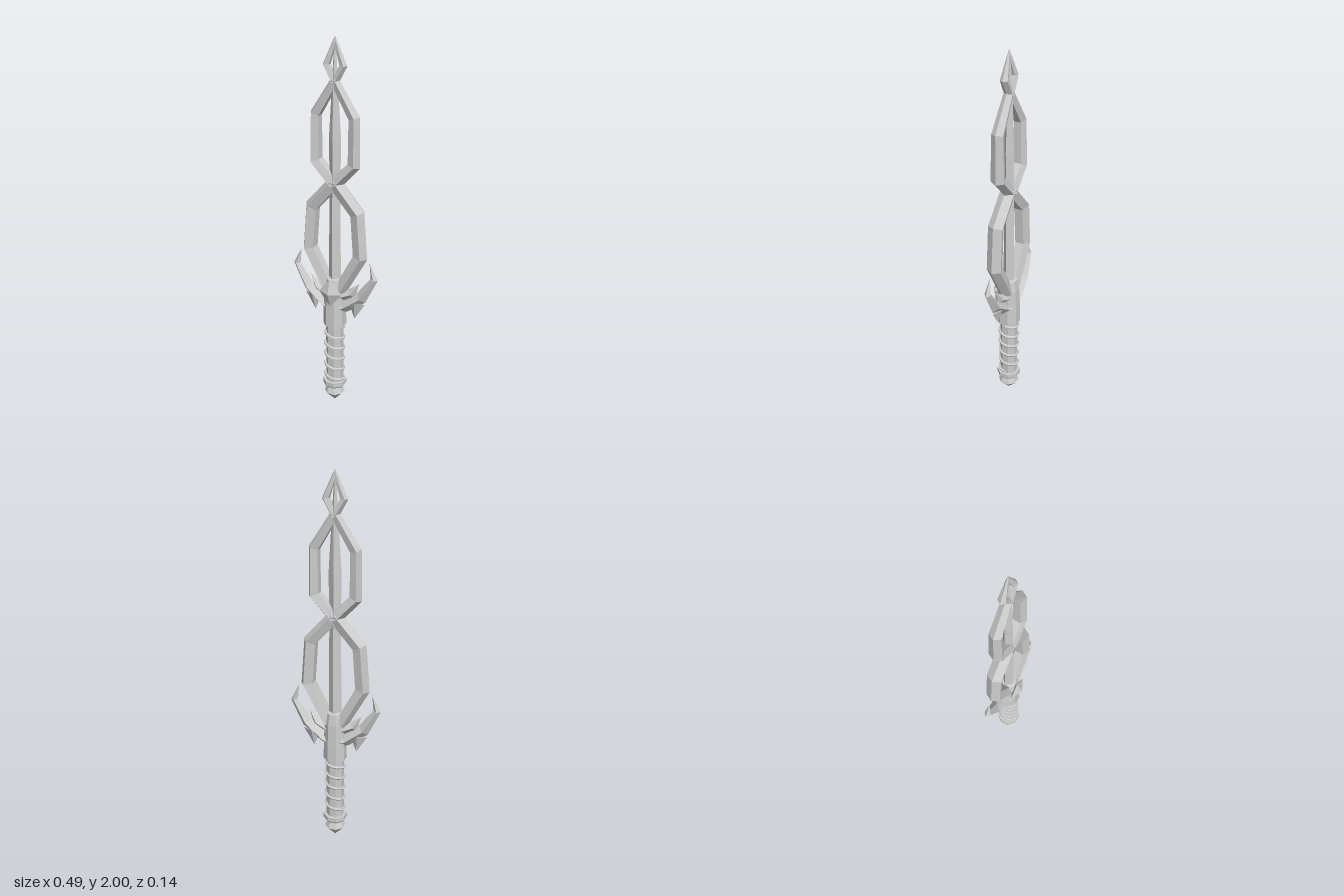
import * as THREE from 'three';

const material = new THREE.MeshStandardMaterial({ color: 0xcccccc, flatShading: true, side: THREE.DoubleSide });

// Cross-sections as [outward, depth] fractions of the half width and half depth
const BEVELLED = [[1, 0], [0.35, 1], [-0.9, 0.6], [-0.9, -0.6], [0.35, -1]];
const DIAMOND = [[1, 0], [0, 1], [-1, 0], [0, -1]];

// Lofts a section along a mitred path of [x, y, halfWidth, halfDepth]; side -1 mirrors it
function bar(path, profile, side = 1) {
  const n = profile.length, positions = [], index = [];
  const direction = (a, b) => new THREE.Vector2(b[0] - a[0], b[1] - a[1]).normalize();
  path.forEach(([x, y, w, d], i) => {
    const before = direction(path[Math.max(i - 1, 0)], path[Math.max(i, 1)]);
    const after = direction(path[Math.min(i, path.length - 2)], path[Math.min(i + 1, path.length - 1)]);
    const t = before.clone().add(after).normalize();
    const k = w / Math.max(t.dot(before), 0.6);
    for (const [u, v] of profile) positions.push(side * (x + t.y * u * k), y - t.x * u * k, v * d);
  });
  const tri = (a, b, c) => (side > 0 ? index.push(a, b, c) : index.push(a, c, b));
  const last = (path.length - 1) * n;
  for (let i = 0; i < path.length - 1; i++) {
    for (let j = 0; j < n; j++) {
      const a = i * n + j, b = i * n + (j + 1) % n;
      tri(a, a + n, b);
      tri(b, a + n, b + n);
    }
  }
  for (let j = 1; j < n - 1; j++) {
    tri(0, j, j + 1);
    tri(last, last + j + 1, last + j);
  }
  const geometry = new THREE.BufferGeometry();
  geometry.setAttribute('position', new THREE.Float32BufferAttribute(positions, 3));
  geometry.setIndex(index);
  geometry.computeVertexNormals();
  return geometry;
}

function add(parent, name, geometry) {
  const mesh = new THREE.Mesh(geometry, material);
  mesh.name = name;
  parent.add(mesh);
  return mesh;
}

// Faceted turned part from [radius, y] points
function turned(profile, sides = 8) {
  const geometry = new THREE.LatheGeometry(profile.map(([r, y]) => new THREE.Vector2(r, y)), sides);
  return geometry.rotateY(Math.PI / sides);
}

export function createModel() {
  const model = new THREE.Group();
  model.name = 'sword';
  const body = new THREE.Group();
  body.name = 'body';
  body.position.z = -0.012;
  model.add(body);

  // Blade: three open loops that cross on the centre line
  const loops = {
    lowerLoop: [[0.035, 0.7, 0.034, 0.04], [0.148, 0.91, 0.036, 0.04], [0.13, 1.143, 0.035, 0.04], [0, 1.29, 0.034, 0.038]],
    upperLoop: [[0, 1.28, 0.034, 0.038], [0.107, 1.39, 0.029, 0.037], [0.106, 1.625, 0.027, 0.031], [0, 1.795, 0.022, 0.023]],
    tipLoop: [[0, 1.785, 0.018, 0.023], [0.046, 1.866, 0.017, 0.02], [0.004, 1.97, 0.011, 0.006], [0, 2, 0, 0]],
  };
  for (const [name, path] of Object.entries(loops)) {
    for (const side of [1, -1]) add(body, name, bar(path, BEVELLED, side));
  }

  // Slim core running up through the loops
  add(body, 'bladeCore', bar([
    [0, 0.7, 0.036, 0.032], [0, 1.29, 0.03, 0.028], [0, 1.5, 0.034, 0.026],
    [0, 1.8, 0.015, 0.018], [0, 1.98, 0.004, 0.004],
  ], DIAMOND));

  // Guard: curved horn, inner thorn and downward barb on each side
  for (const side of [1, -1]) {
    const guard = new THREE.Group();
    guard.name = side > 0 ? 'leftGuard' : 'rightGuard';
    body.add(guard);
    add(guard, 'horn', bar([
      [0, 0.59, 0.034, 0.045], [0.06, 0.608, 0.034, 0.042], [0.155, 0.68, 0.032, 0.032],
      [0.226, 0.8, 0.018, 0.017], [0.198, 0.89, 0, 0],
    ], DIAMOND, side));
    add(guard, 'thorn', bar([
      [0.02, 0.655, 0.03, 0.036], [0.1, 0.692, 0.026, 0.026], [0.142, 0.755, 0, 0],
    ], DIAMOND, side));
    add(guard, 'barb', bar([
      [0.125, 0.645, 0.05, 0.026], [0.117, 0.546, 0, 0],
    ], DIAMOND, side));
  }

  // Collar, grip and pommel
  add(body, 'collar', turned([[0, 0.49], [0.062, 0.49], [0.06, 0.58], [0.055, 0.7], [0.045, 0.76], [0, 0.77]]));
  add(body, 'grip', turned([[0.047, 0.13], [0.047, 0.5]]));
  add(body, 'gripRing', turned([[0, 0.105], [0.056, 0.105], [0.064, 0.115], [0.064, 0.14], [0, 0.14]]));
  add(body, 'pommel', turned([[0, 0], [0.056, 0.062], [0.036, 0.11], [0, 0.11]]));

  // Cord wound round the grip
  const turns = 5, steps = turns * 10;
  const points = [];
  for (let i = 0; i <= steps; i++) {
    const a = (i / 10) * Math.PI * 2;
    points.push(new THREE.Vector3(Math.cos(a) * 0.05, 0.15 + 0.325 * i / steps, Math.sin(a) * 0.05));
  }
  add(body, 'gripCord', new THREE.TubeGeometry(new THREE.CatmullRomCurve3(points), 100, 0.008, 5));

  // Pointed gem on the front of the guard
  const gem = add(model, 'gem', new THREE.OctahedronGeometry(1));
  gem.scale.set(0.066, 0.08, 0.03);
  gem.position.set(0, 0.695, 0.042);

  return model;
}
